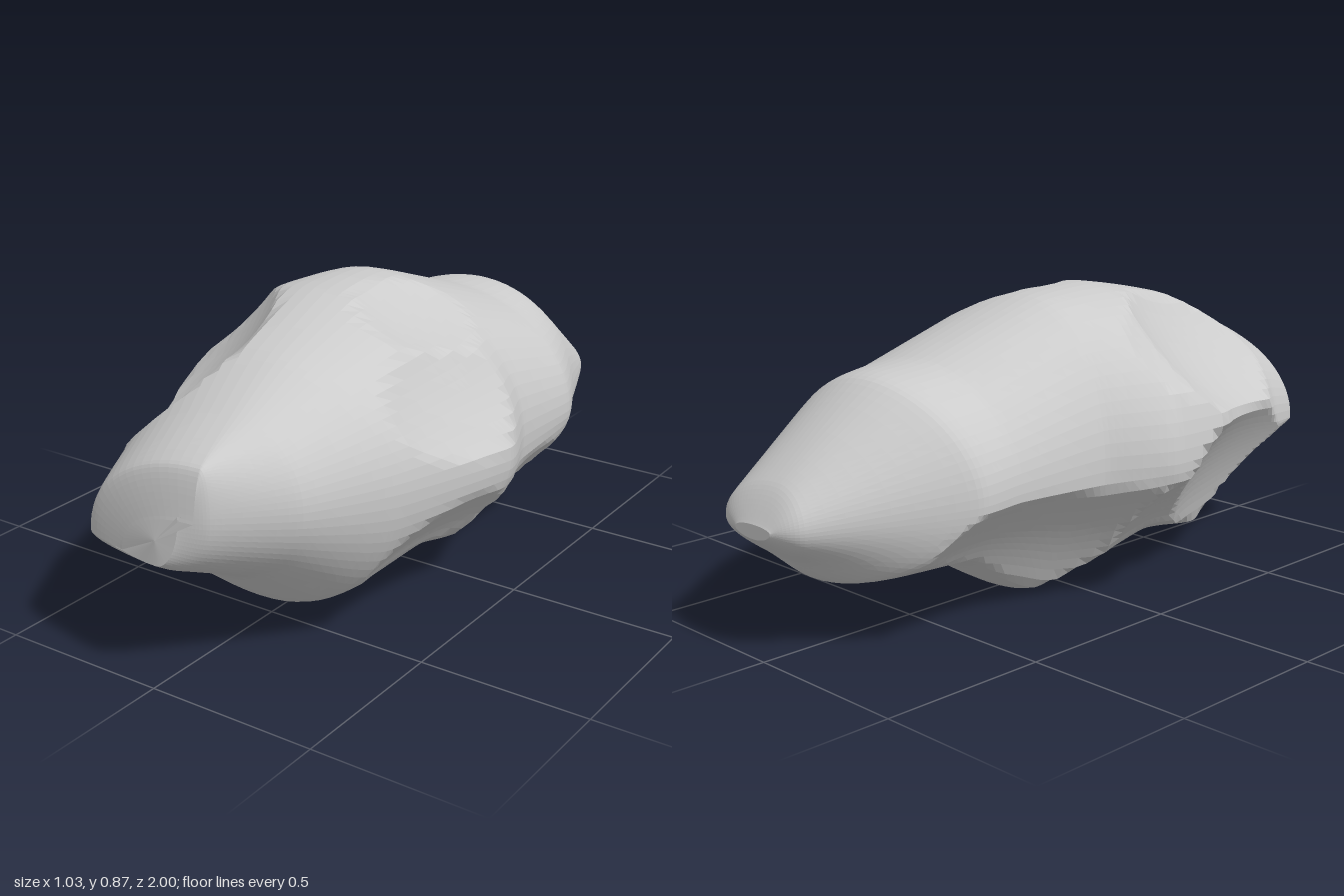
import * as THREE from 'three';

// A rail along one side of the rock, from the front tip to the back tip.
// Each pair is reach and z; place() turns it into a point. Low tension keeps crests sharp.
const rail = (pairs, place) => new THREE.CatmullRomCurve3(
  pairs.map(([r, z]) => new THREE.Vector3(...place(r, z), z)), false, 'catmullrom', .25);

// Matching pairs of the four rails share a crest or a valley
const RAILS = [
  // left flank (+x)
  rail([[.1, .99], [.17, .95], [.32, .77], [.43, .5], [.515, .07], [.44, -.14], [.42, -.46], [.33, -.66], [.21, -.95], [.1, -1]],
    (r, z) => [r, .43 + .08 * z]),
  // top
  rail([[.5, .99], [.63, .945], [.71, .77], [.8, .55], [.87, .2], [.86, -.08], [.73, -.46], [.7, -.65], [.47, -.93], [.37, -1]],
    (r, z) => [.2 * Math.max(z, -.3 * z) - .05, r]),
  // right flank (-x)
  rail([[.1, .98], [.24, .945], [.31, .77], [.46, .5], [.515, .05], [.42, -.15], [.385, -.43], [.375, -.58], [.13, -.95], [.05, -1]],
    (r, z) => [-r, .43 - .07 * z * z]),
  // underside
  rail([[.36, 1], [.33, .95], [.24, .76], [.065, .53], [.11, .25], [0, -.14], [.15, -.43], [.175, -.8], [.26, -.91], [.33, -1]],
    (r, z) => [.03 * z * z, r]),
];

// Shallow hollows: place along the rails, angle in degrees, depth
const HOLLOWS = [
  [3.5, 36, .04], [3.5, -45, .025], [4.9, 62, .02], [5.5, -42, .025], [7, -45, .015],
  [2.2, 212, .025], [2.2, 128, .015], [3.5, 130, .015], [4.1, 230, .025], [6.2, 228, .02],
];

// Ring point: a quarter arc between neighbouring rails, as a ray from the core
function surface(u, angle) {
  const points = RAILS.map(r => r.getPoint(u));
  const core = new THREE.Vector3();
  points.forEach(p => core.addScaledVector(p, 1 / points.length));
  const c = Math.cos(angle), s = Math.sin(angle);
  const side = points[c >= 0 ? 0 : 2], cap = points[s >= 0 ? 1 : 3];
  const dir = new THREE.Vector3(
    THREE.MathUtils.lerp(cap.x, side.x, Math.abs(c)),
    THREE.MathUtils.lerp(side.y, cap.y, Math.abs(s)),
    side.z * c * c + cap.z * s * s).sub(core);
  const length = dir.length();
  return { core, dir: dir.normalize(), length };
}

function createRock() {
  const rows = 90, cols = 72, radius = 1.1;
  // Place a carving sphere over each hollow
  const centres = HOLLOWS.map(([row, deg, depth]) => {
    const { core, dir, length } = surface(row / 9, THREE.MathUtils.degToRad(deg));
    return core.addScaledVector(dir, length + radius - depth);
  });

  const positions = [], index = [];
  for (let i = 0; i <= rows; i++) {
    for (let j = 0; j < cols; j++) {
      const { core, dir, length } = surface(i / rows, j / cols * Math.PI * 2);
      // Pull the point back to the nearest carving sphere
      let reach = length;
      for (const centre of centres) {
        const to = centre.clone().sub(core);
        const along = to.dot(dir);
        const gap = radius * radius - to.lengthSq() + along * along;
        if (along > 0 && gap > 0) {
          const hit = along - Math.sqrt(gap);
          if (hit > 0) reach = Math.min(reach, hit);
        }
      }
      positions.push(...core.addScaledVector(dir, reach).toArray());
      if (i < rows) {
        const k = (j + 1) % cols, a = i * cols, b = a + cols;
        index.push(a + j, b + j, a + k, a + k, b + j, b + k);
      }
    }
  }

  // Close both tips
  const front = positions.length / 3, back = front + 1, last = rows * cols;
  positions.push(.03, .43, 1, .04, .35, -1);
  for (let j = 0; j < cols; j++) {
    const k = (j + 1) % cols;
    index.push(front, j, k, back, last + k, last + j);
  }

  const geometry = new THREE.BufferGeometry();
  geometry.setAttribute('position', new THREE.Float32BufferAttribute(positions, 3));
  geometry.setIndex(index);
  geometry.computeVertexNormals();
  return geometry;
}

export function createModel() {
  const group = new THREE.Group();
  group.name = 'asteroid';
  const rock = new THREE.Mesh(createRock(),
    new THREE.MeshStandardMaterial({ color: 0xcccccc, flatShading: true }));
  rock.name = 'rockBody';
  group.add(rock);
  return group;
}
